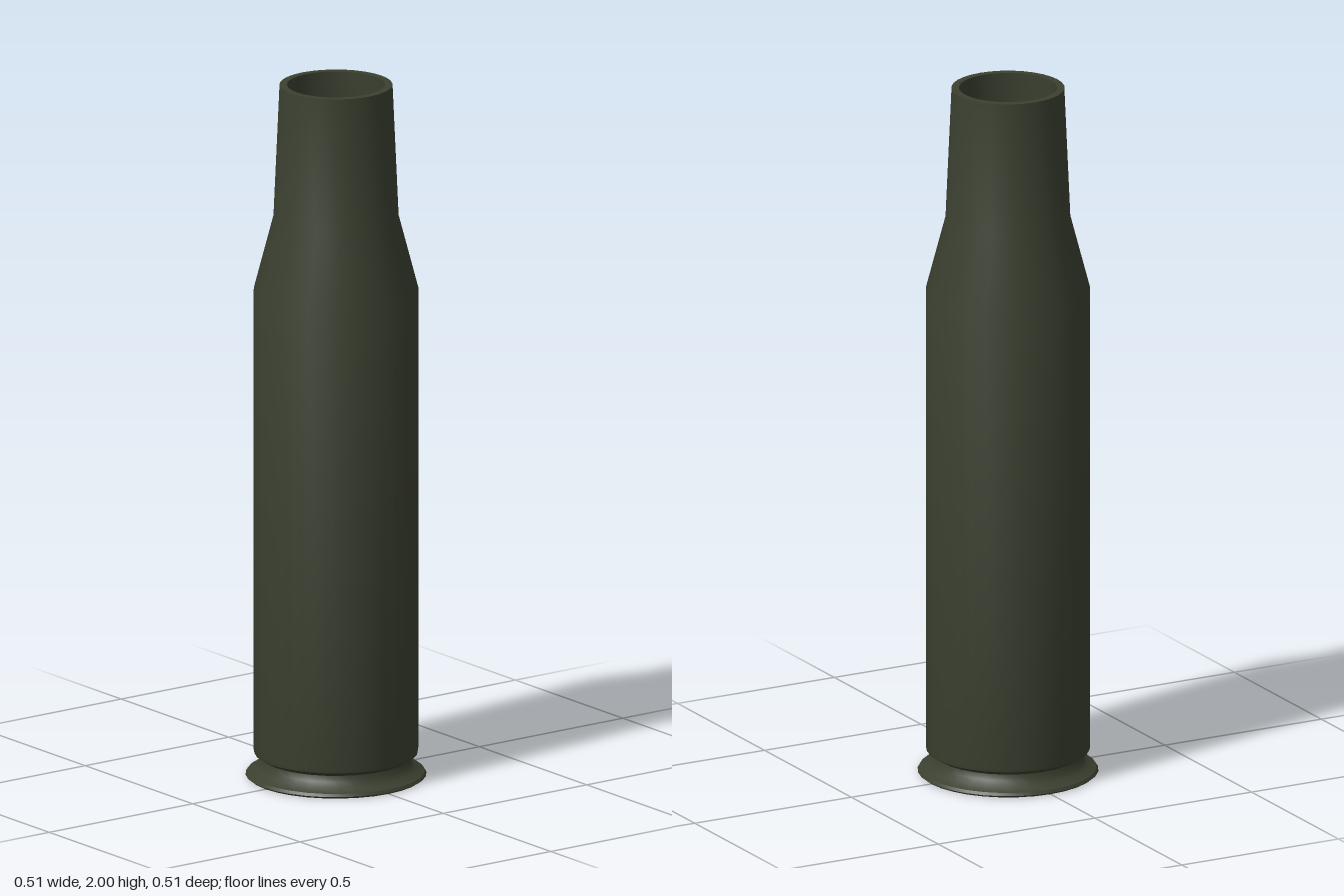
import * as THREE from 'three';
import { toCreasedNormals } from 'three/addons/utils/BufferGeometryUtils.js';

const SIDES = 32;

// Revolve a [radius, height] profile, keeping sharp edges sharp
function turned(name, profile, material) {
  const points = profile.map(([r, y]) => new THREE.Vector2(r, y));
  const geometry = toCreasedNormals(new THREE.LatheGeometry(points, SIDES), 0.6);
  const mesh = new THREE.Mesh(geometry, material);
  mesh.name = name;
  return mesh;
}

export function createModel() {
  const group = new THREE.Group();
  group.name = 'bottleneckCase';
  const metal = new THREE.MeshStandardMaterial({ color: 0x3b4030 });

  // Flat base, flared rim and the groove above it
  group.add(turned('rim', [
    [0, 0], [0.245, 0], [0.253, 0.006], [0.248, 0.014], [0.222, 0.025],
    [0.211, 0.038], [0.207, 0.055], [0.228, 0.068],
  ], metal));

  // Straight body, sloping shoulder and tapered neck
  group.add(turned('body', [
    [0.228, 0.068], [0.23, 0.078], [0.23, 1.41], [0.175, 1.62], [0.158, 2],
  ], metal));

  // Lip of the open mouth
  group.add(turned('mouthLip', [[0.158, 2], [0.137, 2]], metal));

  // Hollow inside, running down to a flat floor
  group.add(turned('innerWall', [
    [0.137, 2], [0.152, 1.62], [0.207, 1.41], [0.207, 0.1], [0, 0.1],
  ], metal));

  return group;
}
